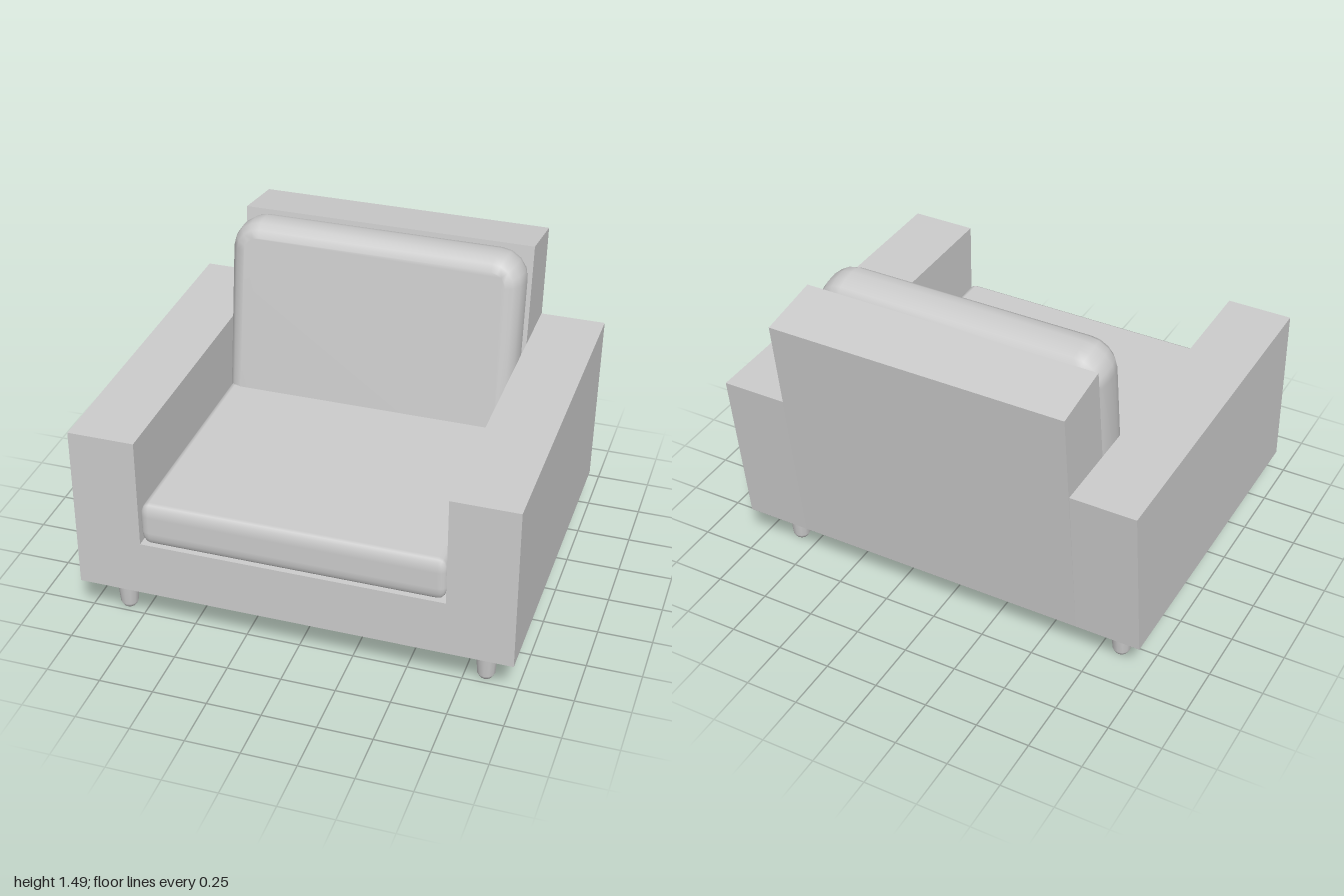
import * as THREE from 'three';
import { mergeVertices } from 'three/addons/utils/BufferGeometryUtils.js';
import { RoundedBoxGeometry } from 'three/addons/geometries/RoundedBoxGeometry.js';

const material = new THREE.MeshStandardMaterial({ color: 0xcccccc });

function addMesh(parent, name, geometry, x = 0, y = 0, z = 0) {
  const mesh = new THREE.Mesh(geometry, material);
  mesh.name = name;
  mesh.position.set(x, y, z);
  parent.add(mesh);
  return mesh;
}

// Side profile given as [z, y] points, extruded across x and centred
function sidePanel(points, width) {
  const shape = new THREE.Shape(points.map(([z, y]) => new THREE.Vector2(z, y)));
  return new THREE.ExtrudeGeometry(shape, { depth: width, bevelEnabled: false })
    .rotateY(-Math.PI / 2)
    .translate(width / 2, 0, 0);
}

// Box whose rounding may differ along each axis
function softBox(w, h, d, rx, ry, rz) {
  return new RoundedBoxGeometry(w / rx, h / ry, d / rz, 2, 1).scale(rx, ry, rz);
}

// Upright pillow: rounded rectangle with a soft bevel, smooth-shaded
function pillow(w, h, d, corner, bevel, bevelDepth) {
  const x = w / 2 - bevel, y = h / 2 - bevel, r = corner - bevel;
  const shape = new THREE.Shape();
  shape.absarc(x - r, y - r, r, 0, Math.PI / 2);
  shape.absarc(r - x, y - r, r, Math.PI / 2, Math.PI);
  shape.absarc(r - x, r - y, r, Math.PI, Math.PI * 1.5);
  shape.absarc(x - r, r - y, r, Math.PI * 1.5, Math.PI * 2);
  const depth = d - 2 * bevelDepth;
  const raw = new THREE.ExtrudeGeometry(shape, {
    depth, curveSegments: 2, bevelSize: bevel, bevelThickness: bevelDepth, bevelSegments: 3,
  });
  raw.deleteAttribute('normal');
  raw.deleteAttribute('uv');
  const smooth = mergeVertices(raw, 1e-4);
  smooth.computeVertexNormals();
  return smooth.translate(0, 0, -depth / 2);
}

export function createModel() {
  const group = new THREE.Group();
  group.name = 'armchair';

  // Frame: seat base with leaning backrest, and an arm on each side
  addMesh(group, 'baseAndBackrest', sidePanel([
    [0.86, 0.21], [0.86, 0.475], [-0.42, 0.475], [-0.56, 1.465], [-0.86, 1.42], [-0.71, 0.21],
  ].reverse(), 1.39));
  const armProfile = [[-0.71, 0.21], [0.86, 0.21], [0.86, 0.995], [-0.803, 0.995]];
  for (const side of [1, -1]) {
    addMesh(group, side > 0 ? 'leftArm' : 'rightArm', sidePanel(armProfile, 0.305), side * 0.8475);
  }

  // Cushions
  addMesh(group, 'seatCushion', softBox(1.385, 0.21, 1.215, 0.04, 0.065, 0.03), 0, 0.58, 0.25);
  const back = addMesh(group, 'backCushion', pillow(1.385, 1.0, 0.232, 0.14, 0.07, 0.09), 0, 0.99, -0.372);
  back.rotation.x = -0.14;

  // Tapered legs with a chamfered foot
  const legProfile = [[0, 0], [0.03, 0], [0.041, 0.02], [0.056, 0.215]]
    .map(([r, y]) => new THREE.Vector2(r, y));
  const legGeometry = new THREE.LatheGeometry(legProfile, 12);
  for (const x of [-0.845, 0.845]) {
    for (const z of [0.695, -0.545]) {
      addMesh(group, (z > 0 ? 'front' : 'back') + (x > 0 ? 'Left' : 'Right') + 'Leg', legGeometry, x, 0, z);
    }
  }

  return group;
}
